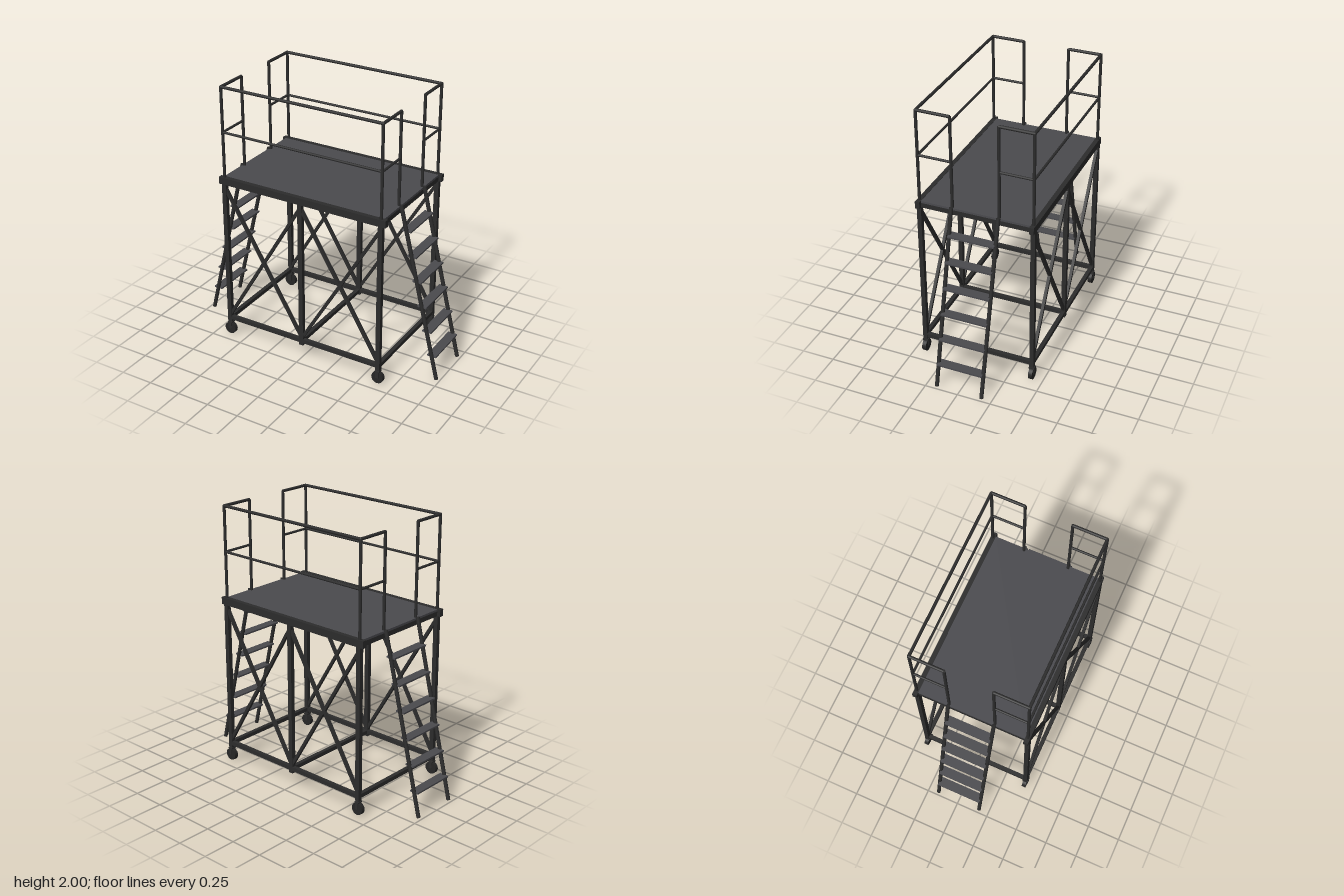
import * as THREE from 'three';

const frameMat = new THREE.MeshStandardMaterial({ name: 'dark steel', color: 0x2c2c2c });
const deckMat = new THREE.MeshStandardMaterial({ name: 'grey tread', color: 0x4a4a4e });
const wheelMat = new THREE.MeshStandardMaterial({ name: 'black rubber', color: 0x262626 });

const X = 0.633, Z = 0.418;   // post centres
const GATE = 0.172;           // half width of the ladder opening
const DECK = 1.308, TOP = 1.989, MID = 1.653;

export function createModel() {
  const model = new THREE.Group();
  model.name = 'workPlatform';

  const add = (name, geo, mat, x = 0, y = 0, z = 0) => {
    const m = new THREE.Mesh(geo, mat);
    m.name = name;
    m.position.set(x, y, z);
    model.add(m);
    return m;
  };
  const box = (name, w, h, d, x, y, z, mat = frameMat) =>
    add(name, new THREE.BoxGeometry(w, h, d), mat, x, y, z);
  // Round or square bar running from a to b
  const bar = (name, a, b, r, square = false) => {
    const p = new THREE.Vector3(...a), q = new THREE.Vector3(...b);
    const dir = q.clone().sub(p), len = dir.length();
    const geo = square ? new THREE.BoxGeometry(r * 2, len, r * 2) : new THREE.CylinderGeometry(r, r, len, 12);
    const m = add(name, geo, frameMat);
    m.position.copy(p).add(q).multiplyScalar(0.5);
    m.quaternion.setFromUnitVectors(new THREE.Vector3(0, 1, 0), dir.normalize());
    return m;
  };

  // Deck plate and its edge beams
  box('deck', 1.296, 0.016, 0.804, 0, 1.298, 0, deckMat);
  for (const s of [-1, 1]) {
    box('deckSideBeam', 1.348, 0.053, 0.034, 0, 1.2815, s * 0.417);
    box('deckEndBeam', 0.03, 0.036, 0.81, s * X, 1.273, 0);
  }

  // Upright posts and base rails
  for (const x of [-X, 0, X]) {
    for (const z of [-Z, Z]) box('post', 0.034, 1.15, 0.032, x, 0.69, z);
    box('baseCrossRail', 0.03, 0.03, Z * 2, x, 0.15, 0);
  }

  for (const z of [-Z, Z]) {
    box('baseSideRail', X * 2, 0.03, 0.03, 0, 0.15, z);

    // Crossed bracing in both bays
    for (const s of [-1, 1]) {
      bar('brace', [0, 1.23, z], [s * X, 0.17, z], 0.011, true);
      bar('brace', [0, 0.17, z], [s * X, 1.23, z], 0.011, true);
    }

    // Long guard rails
    bar('topRail', [-X, TOP, z], [X, TOP, z], 0.011);
    bar('midRail', [-X, MID, z], [X, MID, z], 0.009);

    for (const x of [-X, X]) {
      // Guard rail posts and short returns beside the opening
      const g = Math.sign(z) * GATE;
      bar('cornerRailPost', [x, 1.28, z], [x, TOP, z], 0.011);
      bar('gateRailPost', [x, 1.28, g], [x, TOP, g], 0.011);
      bar('topRailReturn', [x, TOP, z], [x, TOP, g], 0.011);
      bar('midRailReturn', [x, MID, z], [x, MID, g], 0.009);
      add('railCorner', new THREE.SphereGeometry(0.011, 12, 8), frameMat, x, TOP, z);

      // Caster: stem, fork cheeks and wheel
      bar('casterStem', [x, 0.1, z], [x, 0.125, z], 0.014);
      box('casterCrown', 0.035, 0.01, 0.042, x, 0.106, z);
      for (const s of [-1, 1]) box('casterFork', 0.024, 0.056, 0.005, x, 0.08, z + s * 0.0185);
      add('wheel', new THREE.CylinderGeometry(0.046, 0.046, 0.03, 20), wheelMat, x, 0.054, z).rotation.x = Math.PI / 2;
    }
  }

  // Ladder at each end: two sloping rails and six flat treads
  for (const s of [-1, 1]) {
    for (const z of [-GATE, GATE])
      bar('ladderRail', [s * 0.651, 1.31, z], [s * 0.972, 0.006, z], 0.0145);
    for (let i = 1; i <= 6; i++) {
      const y = i * 0.187;
      const x = 0.651 + 0.321 * (1.31 - y) / 1.304;
      box('ladderTread', 0.07, 0.012, GATE * 2, s * x, y, 0, deckMat);
    }
  }
  return model;
}
